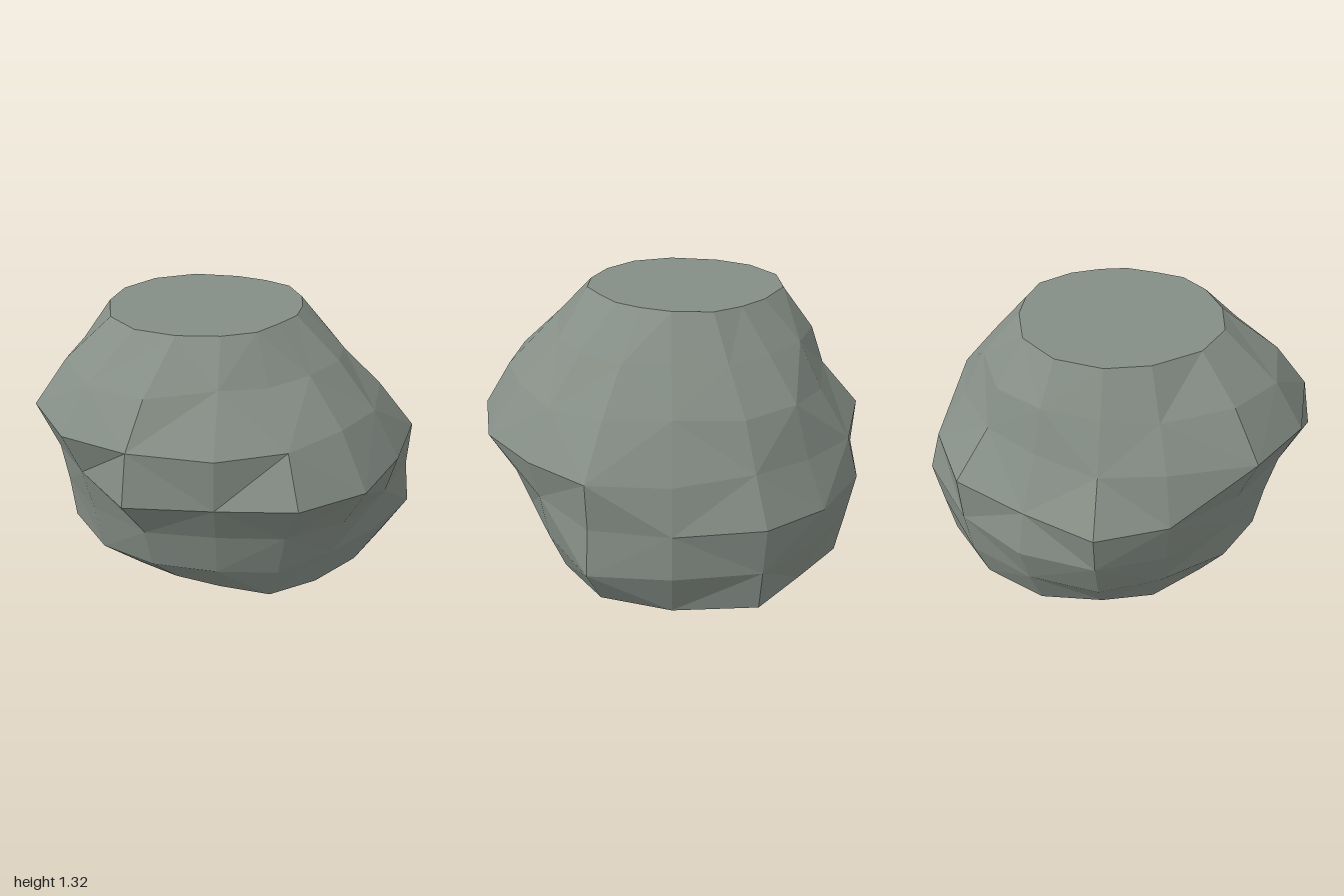
import * as THREE from 'three';

// Directions around the boulder, in degrees from +x towards +z
const ANGLES = [0, 23, 45, 68, 90, 112, 136, 158, 180, 205, 225, 247, 270, 295, 315, 335];

// Cross-sections from the ground to the flat top: height, then radius per direction
const RINGS = [
  { y: 0.00, r: [.91, .88, .77, .71, .69, .59, .57, .60, .70, .75, .77, .84, .89, .95, .91, .98] },
  { y: 0.22, r: [.99, 1.01, .86, .80, .79, .77, .79, .82, .85, .85, .91, .93, .96, .99, .97, 1.0] },
  { y: 0.45, r: [.97, .98, .90, .87, .86, .82, .84, .86, .87, .92, 1.0, .99, .99, 1.03, 1.02, 1.02] },
  { y: 0.67, r: [.90, .99, .95, .99, 1.0, .91, 1.01, .91, .90, .97, 1.03, .94, 1.0, .97, .91, .90] },
  { y: 0.91, r: [.74, .80, .81, .82, .86, .90, .96, 1.0, 1.0, .89, .86, .81, .80, .81, .82, .79] },
  { y: 1.12, r: [.57, .60, .61, .60, .60, .65, .80, .85, .83, .76, .74, .74, .73, .69, .65, .62] },
  { y: 1.32, r: [.41, .38, .38, .38, .43, .46, .51, .57, .60, .61, .62, .61, .57, .50, .47, .46] },
];

function boulderGeometry() {
  const n = ANGLES.length, last = RINGS.length - 1;
  const positions = [], index = [];

  RINGS.forEach(({ y, r }, i) => {
    ANGLES.forEach((deg, j) => {
      const a = THREE.MathUtils.degToRad(deg);
      // a slight rise and fall keeps the inner rings uneven
      const lift = i > 0 && i < last ? 0.012 * Math.sin(j * 2.3 + i * 1.7) : 0;
      positions.push(r[j] * Math.cos(a), y + lift, r[j] * Math.sin(a));
    });
  });

  // Faceted sides, with the diagonals alternating
  for (let i = 0; i < last; i++) {
    for (let j = 0; j < n; j++) {
      const k = (j + 1) % n;
      const a = i * n + j, b = i * n + k, c = b + n, d = a + n;
      if ((i + j) % 2) index.push(a, d, b, b, d, c);
      else index.push(a, d, c, a, c, b);
    }
  }

  // Flat top and underside
  const base = positions.length / 3, top = base + 1;
  positions.push(0, 0, 0, -0.09, RINGS[last].y, -0.07);
  for (let j = 0; j < n; j++) {
    const k = (j + 1) % n;
    index.push(base, j, k, top, last * n + k, last * n + j);
  }

  const geometry = new THREE.BufferGeometry();
  geometry.setAttribute('position', new THREE.Float32BufferAttribute(positions, 3));
  geometry.setIndex(index);
  geometry.computeVertexNormals();
  return geometry;
}

export function createModel() {
  const group = new THREE.Group();
  group.name = 'rock';
  const stone = new THREE.MeshStandardMaterial({ color: 0x858e86, flatShading: true });
  const boulder = new THREE.Mesh(boulderGeometry(), stone);
  boulder.name = 'boulder';
  group.add(boulder);
  return group;
}
